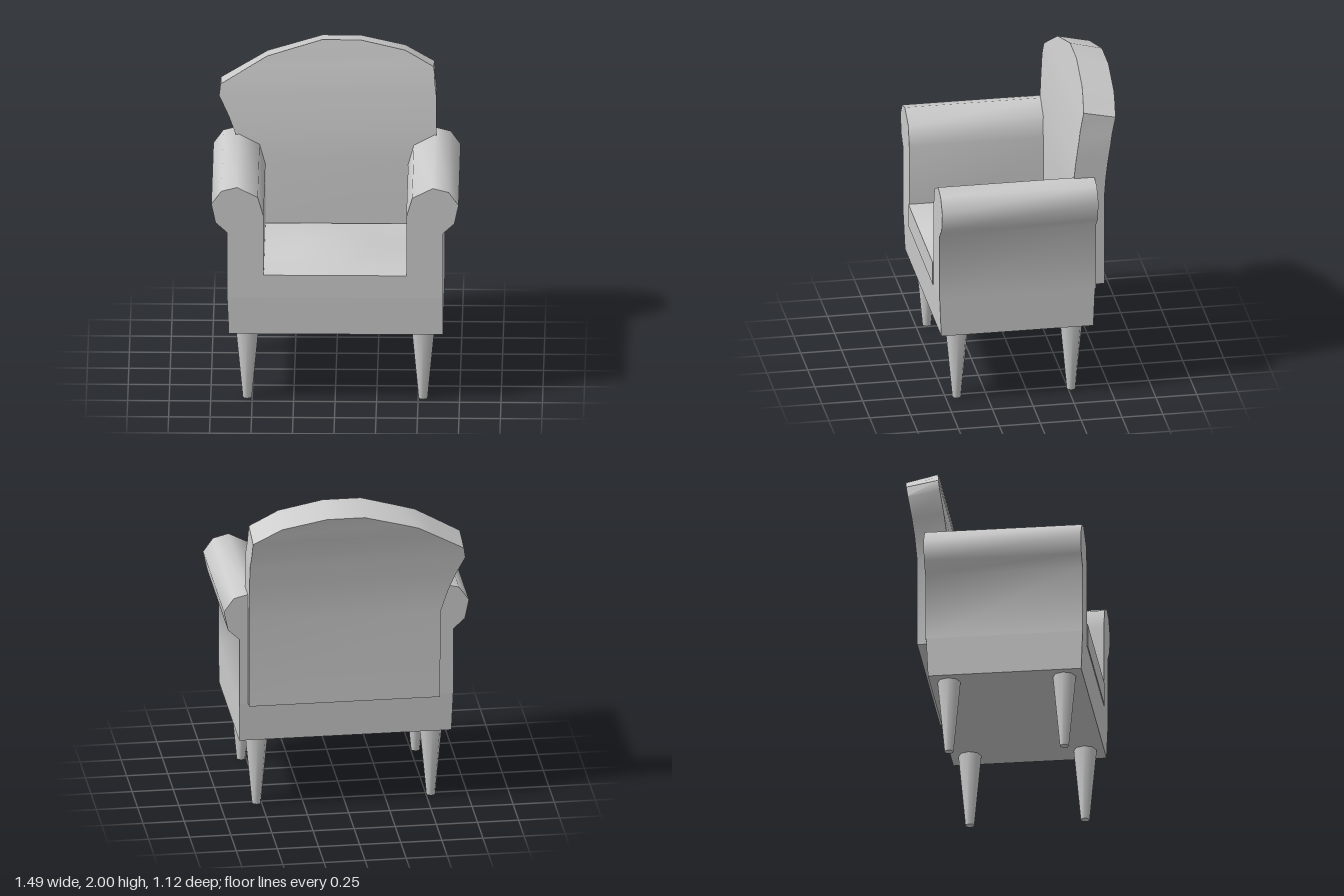
import * as THREE from 'three';
import { toCreasedNormals } from 'three/addons/utils/BufferGeometryUtils.js';

const material = new THREE.MeshStandardMaterial({ color: 0xcccccc });

function part(name, geometry, crease = 0.9) {
  const mesh = new THREE.Mesh(toCreasedNormals(geometry, crease), material);
  mesh.name = name;
  return mesh;
}

// Closed solid through four-cornered rings, listed from bottom to top
function loft(rings) {
  const index = [0, 2, 1, 0, 3, 2];
  for (let i = 0; i < rings.length - 1; i++) {
    for (let j = 0; j < 4; j++) {
      const a = i * 4 + j, b = i * 4 + (j + 1) % 4;
      index.push(a, b, b + 4, a, b + 4, a + 4);
    }
  }
  const t = (rings.length - 1) * 4;
  index.push(t, t + 1, t + 2, t, t + 2, t + 3);
  const geometry = new THREE.BufferGeometry();
  geometry.setAttribute('position', new THREE.Float32BufferAttribute(rings.flat(2), 3));
  geometry.setIndex(index);
  return geometry;
}

const slab = (y, x0, x1, z0, z1) => [[x0, y, z1], [x1, y, z1], [x1, y, z0], [x0, y, z0]];

// Backrest outline: height, right edge, left edge, front depth, drop of the rear edge
const BACK_ROWS = [
  [0.71, -0.56, 0.6, -0.265, 0],
  [1.27, -0.565, 0.6, -0.265, 0],
  [1.42, -0.61, 0.6, -0.275, 0.01],
  [1.53, -0.65, 0.6, -0.287, 0.02],
  [1.66, -0.71, 0.6, -0.305, 0.03],
  [1.73, -0.7, 0.592, -0.315, 0.035],
  [1.84, -0.52, 0.585, -0.337, 0.042],
  [1.9, -0.42, 0.48, -0.35, 0.045],
  [1.94, -0.29, 0.41, -0.357, 0.047],
  [2.0, -0.09, 0.14, -0.37, 0.05],
];

// Rolled arm cross-section on the left side
const ARM = [
  [0.43, 0.705], [0.65, 0.705], [0.65, 1.125], [0.72, 1.19], [0.745, 1.31],
  [0.685, 1.395], [0.59, 1.42], [0.465, 1.355], [0.43, 1.23],
];

function armGeometry(side) {
  const shape = new THREE.Shape(ARM.map(([x, y]) => new THREE.Vector2(side * x, y)));
  const geometry = new THREE.ExtrudeGeometry(shape, { depth: 0.955, bevelEnabled: false });
  return geometry.translate(0, 0, -0.4);
}

// Seat cushion with a gently domed top
function cushionGeometry() {
  const geometry = new THREE.BoxGeometry(0.86, 0.145, 0.81, 4, 1, 6);
  const p = geometry.attributes.position;
  for (let i = 0; i < p.count; i++) {
    if (p.getY(i) < 0) continue;
    const u = 1 - Math.abs(p.getX(i)) / 0.43;
    const v = 1 - (p.getZ(i) / 0.405) ** 2;
    p.setY(i, p.getY(i) + 0.055 * u * v);
  }
  return geometry.translate(0, 0.7775, 0.155);
}

export function createModel() {
  const chair = new THREE.Group();
  chair.name = 'armchair';

  // Seat base, slightly narrower at the bottom
  chair.add(part('seatBase', loft([
    slab(0.46, -0.64, 0.65, -0.385, 0.545),
    slab(0.705, -0.65, 0.65, -0.395, 0.555),
  ])));

  chair.add(part('seatCushion', cushionGeometry()));

  // Backrest leaning back towards the top
  chair.add(part('backrest', loft(BACK_ROWS.map(([y, x0, x1, z, drop]) => [
    [x0, y, z], [x1, y, z], [x1, y - drop, z - 0.195], [x0, y - drop, z - 0.195],
  ])), 0.6));

  // Arms and tapered legs
  for (const [side, label] of [[1, 'left'], [-1, 'right']]) {
    chair.add(part(label + 'Arm', armGeometry(side), 1));
    for (const [z, end] of [[0.43, 'Front'], [-0.27, 'Back']]) {
      const leg = part(label + end + 'Leg', new THREE.CylinderGeometry(0.07, 0.027, 0.46, 8));
      leg.position.set(side * 0.53, 0.23, z);
      chair.add(leg);
    }
  }

  return chair;
}
